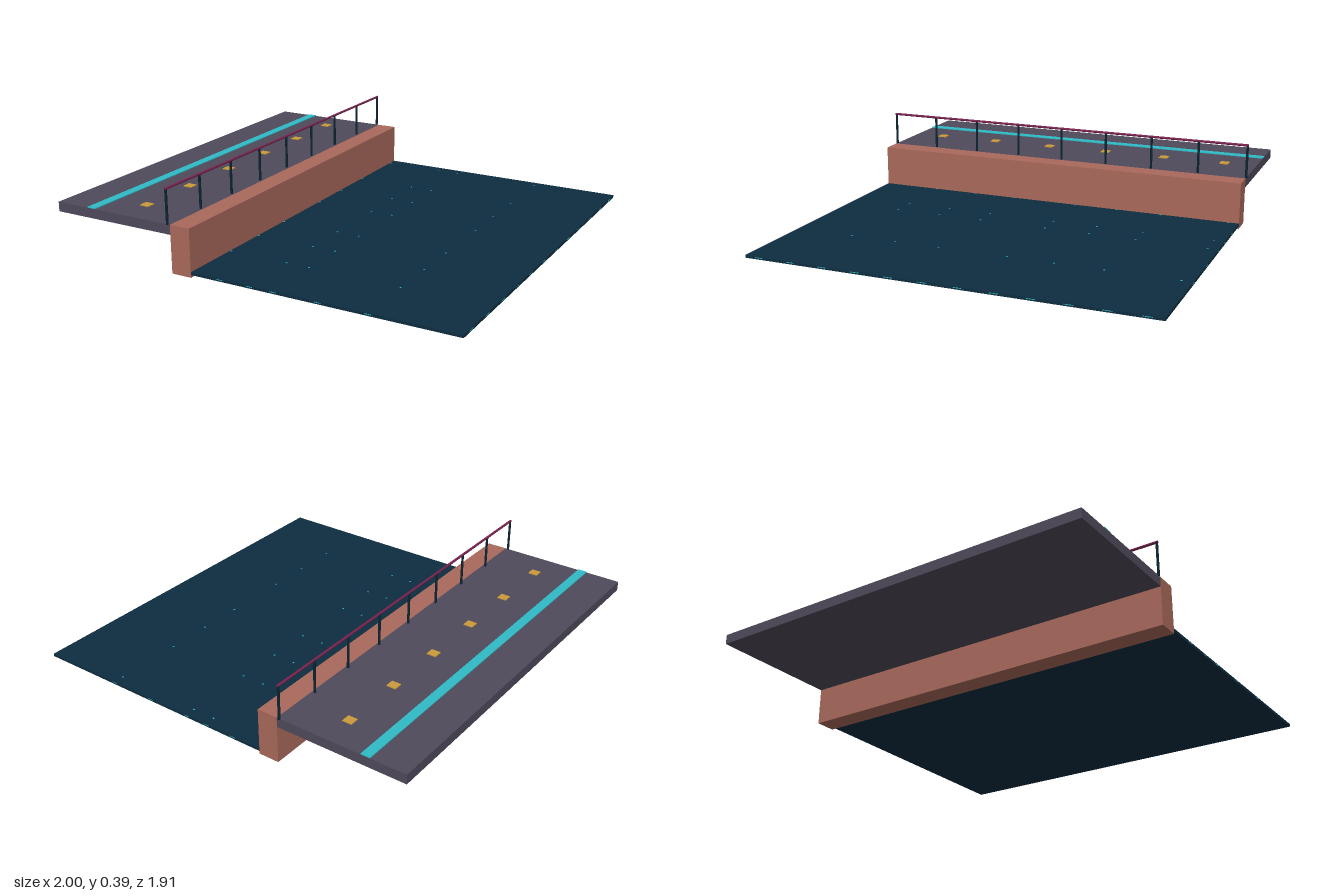
import * as THREE from 'three';

const paint = (name, color) => {
  const m = new THREE.MeshStandardMaterial({ color });
  m.name = name;
  return m;
};

export function createModel() {
  const group = new THREE.Group();
  const paving = paint('paving grey', 0x504a5b);
  const brick = paint('brick', 0xa9695b);
  const navy = paint('deep water', 0x0e2d40);
  const cyan = paint('cyan', 0x2fbac6);
  const gold = paint('gold', 0xcb9a3a);
  const plum = paint('plum', 0x7a2350);
  const iron = paint('dark iron', 0x0b2432);

  const add = (name, geometry, material, x, y, z) => {
    const mesh = new THREE.Mesh(geometry, material);
    mesh.name = name;
    mesh.position.set(x, y, z);
    group.add(mesh);
    return mesh;
  };
  // Box given by its lower and upper corners
  const box = (name, material, [x0, y0, z0], [x1, y1, z1]) =>
    add(name, new THREE.BoxGeometry(x1 - x0, y1 - y0, z1 - z0), material,
      (x0 + x1) / 2, (y0 + y1) / 2, (z0 + z1) / 2);

  const D = 0.95;

  // Promenade, quay wall and water
  box('promenade', paving, [-1, 0.178, -D], [-0.37, 0.224, D]);
  box('quayWall', brick, [-0.37, 0, -D], [-0.27, 0.224, D]);
  box('water', navy, [-0.27, 0.013, -D], [1, 0.026, D]);

  // Painted lane and square floor lights
  box('laneStripe', cyan, [-0.83, 0.224, -D], [-0.785, 0.228, D]);
  for (let i = 0; i < 6; i++) {
    const z = -0.791 + i * 0.3164;
    box('floorLight', gold, [-0.644, 0.224, z - 0.022], [-0.598, 0.228, z + 0.022]);
  }

  // Railing: nine posts and a top rail
  const post = new THREE.CylinderGeometry(0.006, 0.006, 0.162, 8);
  for (let i = 0; i < 9; i++) {
    add('railingPost', post, iron, -0.383, 0.303, -D + i * D / 4);
  }
  const rail = add('topRail', new THREE.CylinderGeometry(0.006, 0.006, 2 * D + 0.01, 8), plum, -0.383, 0.384, 0);
  rail.rotation.x = Math.PI / 2;

  // Small glints along the outer edges of the water
  for (let i = 0; i < 12; i++) {
    const z = -0.88 + i * 0.16;
    box('sideGlint', cyan, [0.999, 0.019, z - 0.02], [1.0005, 0.022, z + 0.02]);
  }
  for (const s of [-1, 1]) {
    for (const x of [-0.12, 0.03, 0.145, 0.36, 0.59]) {
      box('endGlint', cyan, [x - 0.015, 0.019, s * D - 0.0006], [x + 0.015, 0.022, s * D + 0.0006]);
    }
  }
  // Faint specks on the water surface
  for (const z of [-0.9, -0.565, -0.34, -0.12, 0.215, 0.435, 0.66]) {
    for (const x of [-0.264, 0.03, 0.145, 0.587]) {
      box('surfaceGlint', cyan, [x - 0.004, 0.025, z - 0.004], [x + 0.004, 0.0265, z + 0.004]);
    }
  }
  return group;
}
